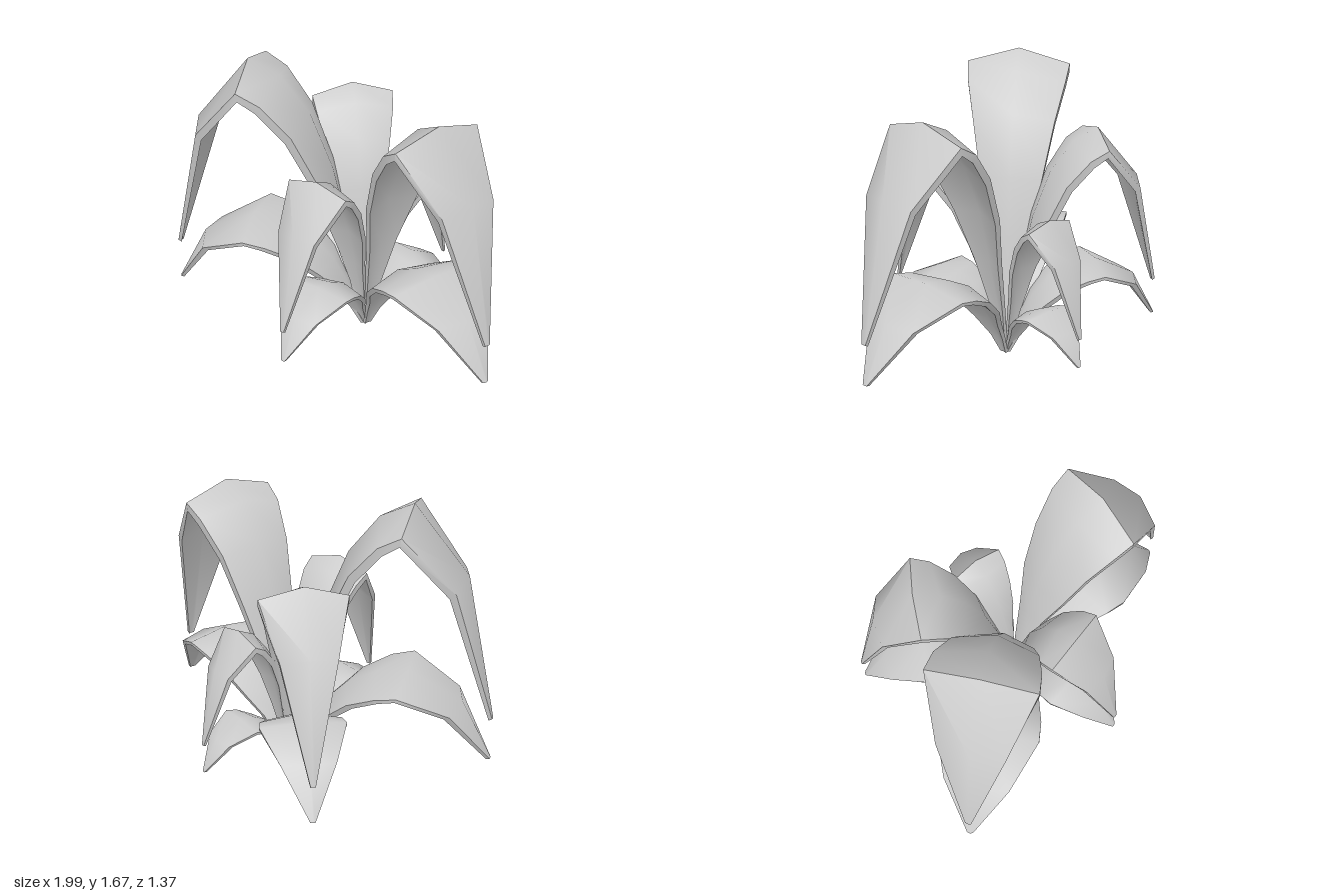
import * as THREE from 'three';
import { toCreasedNormals } from 'three/addons/utils/BufferGeometryUtils.js';

const material = new THREE.MeshStandardMaterial({ color: 0xcccccc });

// Leaf spine for unit length: distance out, height, half width, thickness
const SPINE = [
  [0.0, 0.0, 0.02, 0.02],
  [0.04, 0.26, 0.045, 0.025],
  [0.1, 0.53, 0.09, 0.035],
  [0.165, 0.78, 0.155, 0.04],
  [0.275, 1.04, 0.205, 0.045],
  [0.42, 1.23, 0.247, 0.045],
  [0.578, 1.305, 0.26, 0.045],
  [0.844, 0.975, 0.165, 0.04],
  [0.995, 0.25, 0.015, 0.02],
];
const FOLD = 0.28; // how far the leaf edges sink below the midrib, per half width
const STEM = 0.14; // extra height every leaf gains near its base

// Arching leaf along +x: a six-point section swept along the spine
function leafGeometry(length, heightScale) {
  const line = SPINE.map(([t, y]) => new THREE.Vector2(
    t * length, y * length + STEM * Math.min(1, t / 0.2)));
  const positions = [];
  SPINE.forEach(([, , w, th], i) => {
    const p = line[i];
    const a = line[Math.max(i - 1, 0)], b = line[Math.min(i + 1, line.length - 1)];
    const tIn = p.clone().sub(a).normalize(), tOut = b.clone().sub(p).normalize();
    const tangent = tIn.add(tOut).normalize();
    const normal = new THREE.Vector2(-tangent.y, tangent.x + 0.3).normalize();
    const half = w * length;
    const put = (side, depth) => {
      const d = depth + Math.abs(side) * half * FOLD;
      positions.push(p.x - normal.x * d,
        Math.max(0, p.y - normal.y * d) * heightScale, side * half);
    };
    const depth = th * (0.4 + 0.6 * length);
    [-1, 0, 1].forEach((s) => put(s, 0));
    [1, 0, -1].forEach((s) => put(s, depth));
  });

  const index = [];
  const quad = (a, b, c, d) => index.push(a, b, d, b, c, d);
  const last = (SPINE.length - 1) * 6;
  for (let i = 0; i < last; i += 6) {
    for (let j = 0; j < 6; j++) {
      const k = (j + 1) % 6;
      quad(i + j, i + k, i + 6 + k, i + 6 + j);
    }
  }
  // end caps
  quad(5, 4, 1, 0);
  quad(4, 3, 2, 1);
  quad(last, last + 1, last + 4, last + 5);
  quad(last + 1, last + 2, last + 3, last + 4);

  const geometry = new THREE.BufferGeometry();
  geometry.setAttribute('position', new THREE.Float32BufferAttribute(positions, 3));
  geometry.setIndex(index);
  return toCreasedNormals(geometry, 1.1);
}

export function createModel() {
  const model = new THREE.Group();
  model.name = 'plant';
  const root = new THREE.Vector2(-0.1, -0.09);

  // Leaf tips seen from above (x, z)
  const tips = {
    leftLeaf: [0.99, -0.1],
    frontLeaf: [0.1, 0.66],
    frontRightLeaf: [-1.0, 0.665],
    backRightLeaf: [-0.915, -0.535],
    backLeaf: [-0.09, -0.7],
  };

  // Two tiers: tall leaves, and the same leaves flattened beneath them
  for (const [tierName, heightScale] of [['upperLeaves', 1], ['lowerLeaves', 0.404]]) {
    const tier = new THREE.Group();
    tier.name = tierName;
    tier.position.set(root.x, 0, root.y);
    for (const [name, [x, z]] of Object.entries(tips)) {
      const dx = x - root.x, dz = z - root.y;
      const leaf = new THREE.Mesh(leafGeometry(Math.hypot(dx, dz), heightScale), material);
      leaf.name = name;
      leaf.rotation.y = Math.atan2(-dz, dx);
      tier.add(leaf);
    }
    model.add(tier);
  }
  return model;
}
